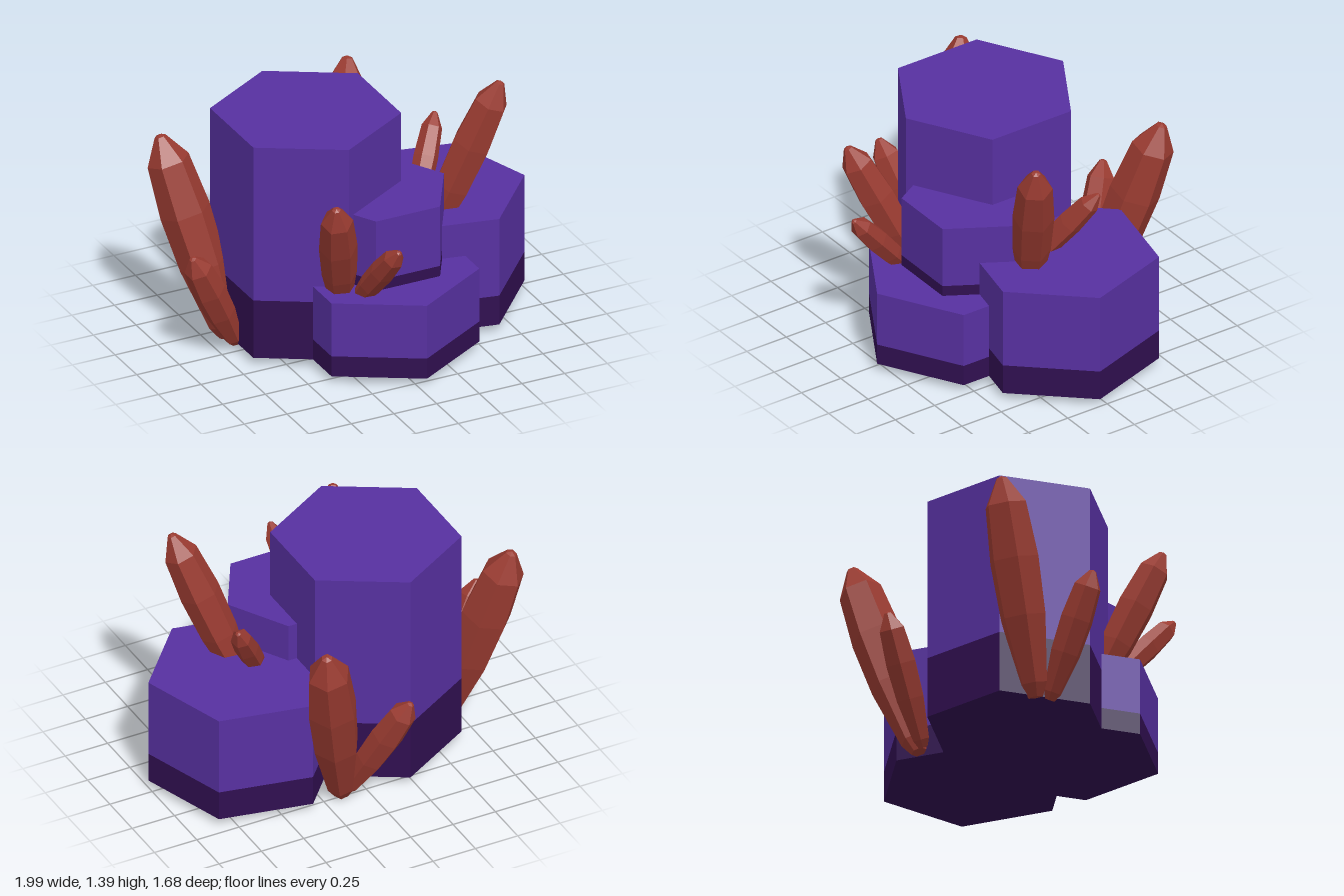
import * as THREE from 'three';

const material = (name, color, flatShading = true) => {
  const m = new THREE.MeshStandardMaterial({ color, flatShading });
  m.name = name;
  return m;
};

// Hexagonal prism; angle is the direction of one corner, measured from +x towards +z
function prism(name, mat, x, z, radius, y0, y1, angle) {
  const geo = new THREE.CylinderGeometry(radius, radius, y1 - y0, 6);
  geo.rotateY(Math.PI / 2 - angle);
  const mesh = new THREE.Mesh(geo, mat);
  mesh.name = name;
  mesh.position.set(x, (y0 + y1) / 2, z);
  return mesh;
}

// Six-sided shard: narrow foot, widest above the middle, blunt pointed tip
const PROFILE = [[0, 0], [0.3, 0], [0.55, 0.06], [0.92, 0.36], [1, 0.62], [0.84, 0.87], [0.22, 0.99], [0, 1]];

function shard(name, mat, base, tip, radius, spin) {
  const a = new THREE.Vector3(...base);
  const dir = new THREE.Vector3(...tip).sub(a);
  const length = dir.length();
  const points = PROFILE.map(([r, t]) => new THREE.Vector2(r * radius, t * length));
  const geo = new THREE.LatheGeometry(points, 6);
  geo.rotateY(spin);
  const mesh = new THREE.Mesh(geo, mat);
  mesh.name = name;
  mesh.position.copy(a);
  mesh.quaternion.setFromUnitVectors(new THREE.Vector3(0, 1, 0), dir.normalize());
  return mesh;
}

export function createModel() {
  const group = new THREE.Group();
  group.name = 'crystalColumns';
  const purple = material('purple stone', 0x5730a0);
  const dark = material('dark purple stone', 0x300f50);
  const red = material('red crystal', 0x9a3b31);

  // Stone columns: name, x, z, radius, bottom, band top, top, corner angle
  const columns = [
    ['tallColumn', -0.225, -0.07, 0.5, 0.04, 0.378, 1.28, Math.PI / 2],
    ['middleColumn', 0.07, 0.207, 0.375, 0.4, 0.53, 0.88, 0],
    ['frontColumn', 0.045, 0.3, 0.5, 0.04, 0.158, 0.47, Math.PI / 2],
    ['sideColumn', 0.498, -0.06, 0.512, 0.04, 0.21, 0.662, 0.205],
  ];
  for (const [name, x, z, r, y0, y1, y2, angle] of columns) {
    const column = new THREE.Group();
    column.name = name;
    column.add(prism(name + 'Base', dark, x, z, r, y0, y1, angle));
    column.add(prism(name + 'Top', purple, x, z, r, y1, y2, angle));
    group.add(column);
  }

  // Leaning crystals: name, foot, tip, radius, spin
  const shards = [
    ['leftLargeCrystal', [-0.66, 0.03, -0.12], [-0.915, 1.15, -0.4], 0.137, 0.3],
    ['leftSmallCrystal', [-0.65, 0.03, -0.04], [-0.97, 0.66, 0.09], 0.09, 0.1],
    ['frontLargeCrystal', [-0.22, 0.3, 0.33], [-0.42, 1.09, 0.67], 0.102, 0.2],
    ['frontSmallCrystal', [-0.19, 0.37, 0.42], [-0.13, 0.84, 0.83], 0.068, 0.5],
    ['sideLargeCrystal', [0.4, 0.42, 0.08], [0.745, 1.385, 0.275], 0.11, 0.4],
    ['sideSmallCrystal', [0.32, 0.5, 0.07], [0.61, 1.01, -0.22], 0.066, 0.2],
    ['backLargeCrystal', [0.14, 0.01, -0.49], [0.38, 1.13, -0.78], 0.137, 0.5],
    ['backSmallCrystal', [0.1, 0.02, -0.48], [-0.13, 0.66, -0.76], 0.088, 0.1],
  ];
  for (const [name, base, tip, r, spin] of shards) group.add(shard(name, red, base, tip, r, spin));

  return group;
}
